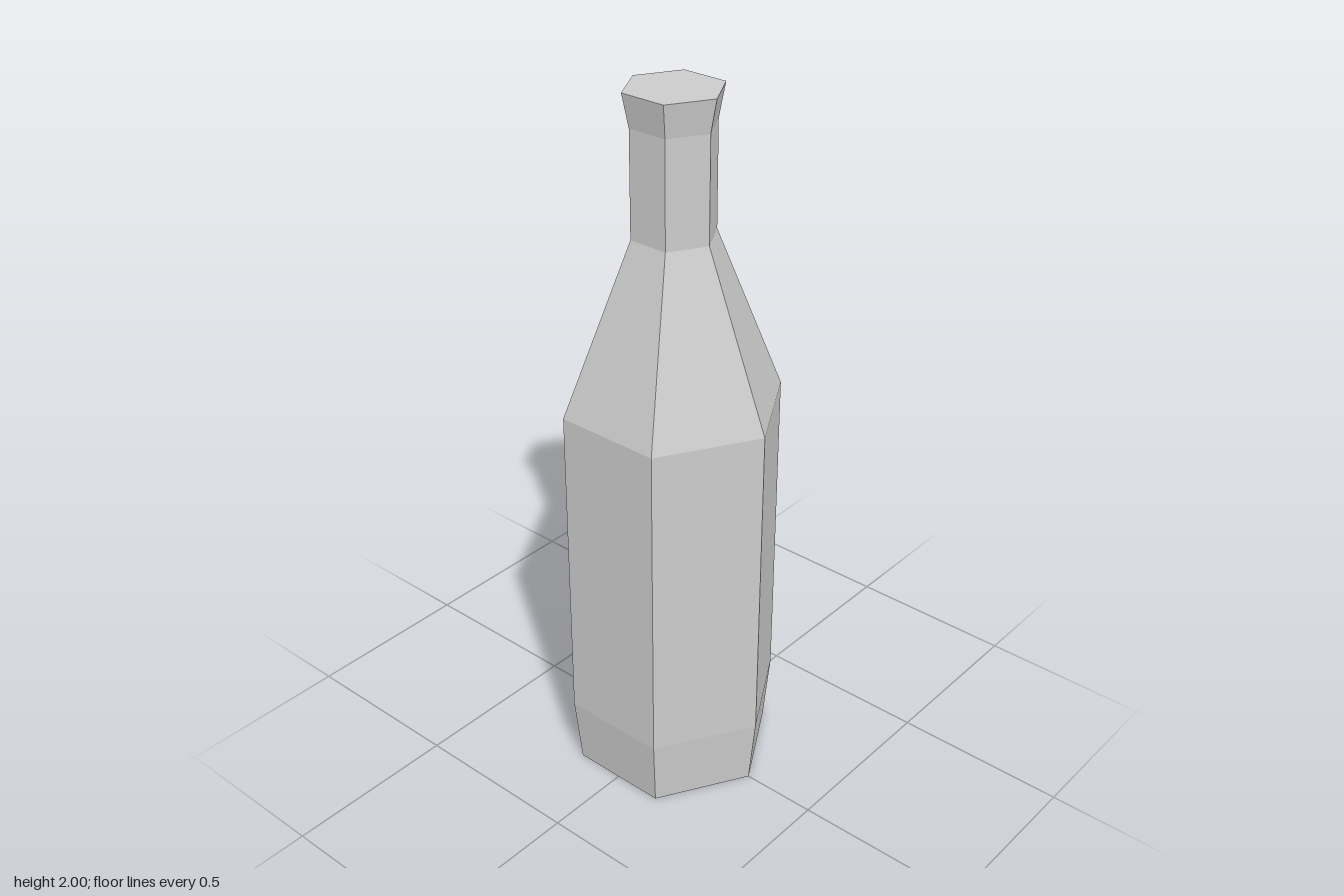
import * as THREE from 'three';

export function createModel() {
  const group = new THREE.Group();
  group.name = 'bottle';

  // Half profile from the centre of the base to the centre of the top: [radius, height]
  const profile = [
    [0, 0], [0.285, 0],        // base
    [0.305, 0.2],              // lower taper
    [0.305, 1.145],            // straight body
    [0.115, 1.62],             // shoulder
    [0.115, 1.91],             // neck
    [0.133, 2], [0, 2],        // flared lip and closed top
  ].map(([r, y]) => new THREE.Vector2(r, y));

  // Six-sided body with corners on the x axis
  const body = new THREE.Mesh(
    new THREE.LatheGeometry(profile, 6, Math.PI / 2),
    new THREE.MeshStandardMaterial({ color: 0xcccccc, flatShading: true }),
  );
  body.name = 'bottleBody';
  group.add(body);

  return group;
}
